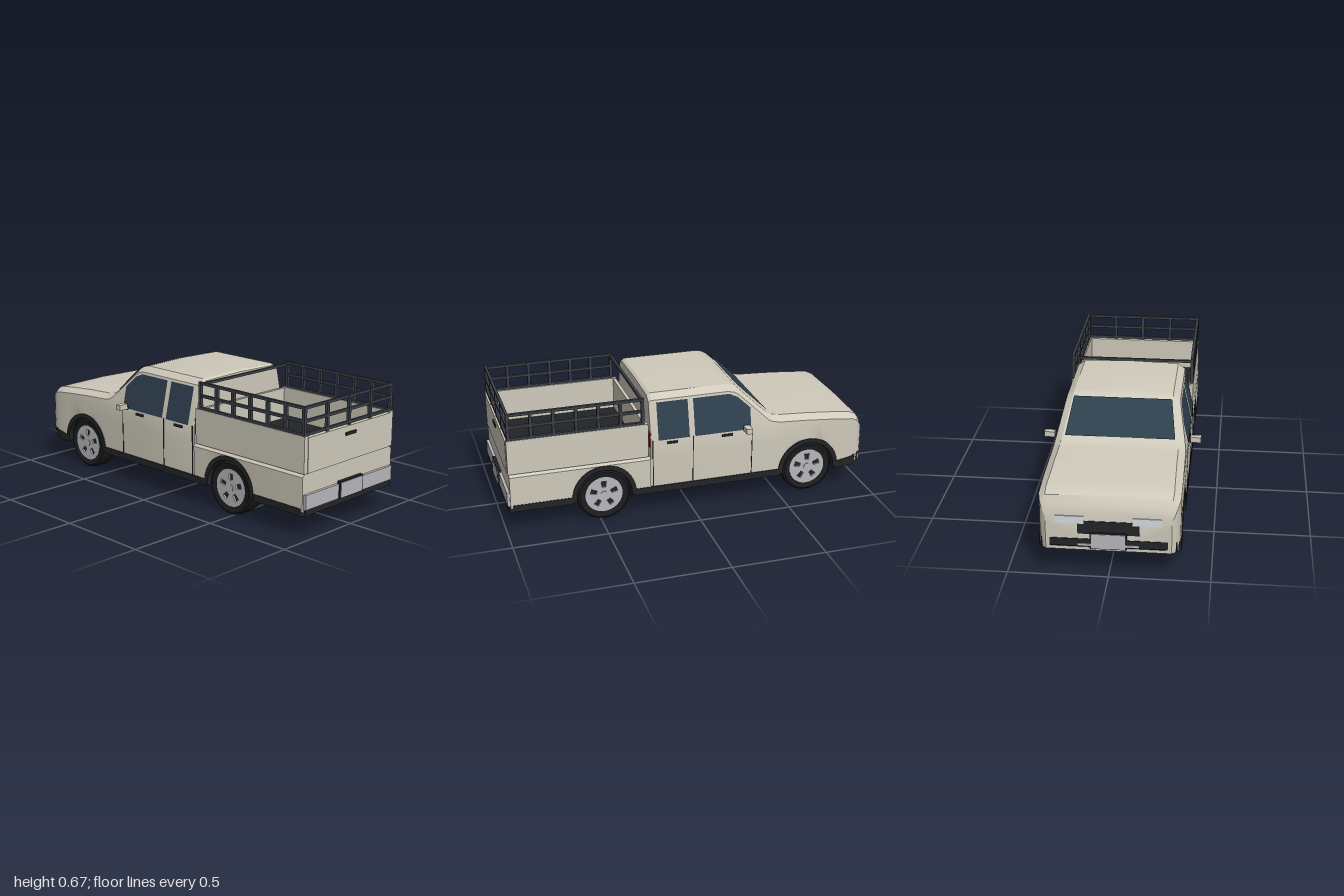
import * as THREE from 'three';
import { toCreasedNormals } from 'three/addons/utils/BufferGeometryUtils.js';

const mat = (color, side = THREE.FrontSide) =>
  new THREE.MeshStandardMaterial({ color, side });
const PAINT = mat(0xcfcabb), TRIM = mat(0x222426), RAIL = mat(0x3a4048), CHROME = mat(0xb8b8bc);
const GLASS = mat(0x2f404e, THREE.DoubleSide), LAMP = mat(0xd8dce0), RED = mat(0x8c1a1a);
const RUBBER = mat(0x1c1d1e);

const AXLES = [-0.665, 0.48], WHEEL_R = 0.143, ARCH_R = 0.17;

function add(parent, name, geo, material, x = 0, y = 0, z = 0) {
  const m = new THREE.Mesh(geo, material);
  m.name = name;
  m.position.set(x, y, z);
  parent.add(m);
  return m;
}

// Box given by its limits on each axis
const block = (p, name, m, x0, x1, y0, y1, z0, z1) =>
  add(p, name, new THREE.BoxGeometry(x1 - x0, y1 - y0, z1 - z0), m,
    (x0 + x1) / 2, (y0 + y1) / 2, (z0 + z1) / 2);

// Skin over mirrored half sections, each listed from bottom centre to top centre
function loft(rows, crease = 0.45) {
  const pos = [], idx = [], n = 2 * rows[0].half.length - 2;
  for (const { z, half } of rows) {
    const mirrored = half.slice(1, -1).reverse().map(([x, y]) => [-x, y]);
    for (const [x, y] of [...half, ...mirrored]) pos.push(x, y, z);
  }
  for (let i = 0; i < rows.length - 1; i++)
    for (let j = 0; j < n; j++) {
      const k = (j + 1) % n, a = i * n + j, b = i * n + k, c = b + n, d = a + n;
      idx.push(a, b, c, a, c, d);
    }
  const last = (rows.length - 1) * n;
  for (let j = 1; j < n - 1; j++) idx.push(0, j + 1, j, last, last + j, last + j + 1);
  const g = new THREE.BufferGeometry();
  g.setAttribute('position', new THREE.Float32BufferAttribute(pos, 3));
  g.setIndex(idx);
  return toCreasedNormals(g, crease);
}

// Underside of the panels, raised around each wheel
function bottomY(z) {
  let y = 0.14;
  for (const c of AXLES) {
    const d = ARCH_R ** 2 - (z - c) ** 2;
    if (d > 0) y = Math.max(y, WHEEL_R + Math.sqrt(d));
  }
  return y;
}
const archStations = c =>
  Array.from({ length: 17 }, (_, i) => c - ARCH_R * Math.cos(i / 16 * Math.PI));

// Side of the cab leans inwards above the belt line
const sideX = y => 0.346 - Math.max(0, y - 0.42) * 0.225;

// Roof, windscreen and bonnet line as [z, y, narrowing]
const TOP = [[-0.988, 0.345, 0.04], [-0.975, 0.385, 0.022], [-0.95, 0.42, 0.008], [-0.915, 0.437, 0],
  [-0.8, 0.45, 0], [-0.65, 0.462, 0], [-0.5, 0.47, 0], [-0.455, 0.478, 0], [-0.43, 0.49, 0],
  [-0.27, 0.642, 0], [-0.245, 0.657, 0], [-0.21, 0.665, 0], [0.21, 0.665, 0], [0.225, 0.655, 0.006]];
function topAt(z) {
  const i = Math.max(1, TOP.findIndex(t => t[0] >= z));
  const a = TOP[i - 1], b = TOP[i], k = (z - a[0]) / (b[0] - a[0]);
  return a.map((v, j) => v + (b[j] - v) * k);
}
function cabSection(z) {
  const [, t, s] = topAt(z), b = bottomY(z), sh = t - 0.035;
  const belt = Math.min(0.42, t - 0.06);
  return { z, half: [[0, b], [0.345 - s, b], [0.347 - s, Math.max(b, belt - 0.09)], [0.346 - s, belt],
    [sideX(sh) - s, sh], [sideX(t) - 0.03 - s, t - 0.007], [0, t]] };
}
function bedSection(z) {
  const b = bottomY(z);
  return { z, half: [[0, b], [0.347, b], [0.349, 0.316], [0.335, 0.33], [0, 0.33]] };
}

// Flat outline in (z, y) laid onto the leaning cab side
function sideGlass(points, s) {
  const g = new THREE.ShapeGeometry(new THREE.Shape(points.map(p => new THREE.Vector2(...p))));
  const p = g.attributes.position;
  for (let i = 0; i < p.count; i++) {
    const z = p.getX(i), y = p.getY(i);
    p.setXYZ(i, s * (sideX(y) + 0.003), y, z);
  }
  g.computeVertexNormals();
  return g;
}

function makeWheel(s) {
  const w = new THREE.Group();
  w.name = 'wheel';
  const prof = [[0.098, -0.044], [0.13, -0.05], [0.14, -0.043], [WHEEL_R, -0.03],
    [WHEEL_R, 0.03], [0.14, 0.043], [0.13, 0.05], [0.098, 0.044]].map(p => new THREE.Vector2(...p));
  const tyre = add(w, 'tyre', toCreasedNormals(new THREE.LatheGeometry(prof, 40), 0.6), RUBBER);
  tyre.rotation.z = Math.PI / 2;
  const back = add(w, 'wheelBack', new THREE.CylinderGeometry(0.1, 0.1, 0.07, 32), TRIM);
  back.rotation.z = Math.PI / 2;
  // Disc with five openings
  const disc = new THREE.Shape().absarc(0, 0, 0.1, 0, 2 * Math.PI);
  for (let i = 0; i < 5; i++) {
    const a = Math.PI / 2 + i * 2 * Math.PI / 5, at = (r, t) =>
      new THREE.Vector2(r * Math.cos(a) - t * Math.sin(a), r * Math.sin(a) + t * Math.cos(a));
    disc.holes.push(new THREE.Path([at(0.04, -0.01), at(0.074, -0.014), at(0.074, 0.014), at(0.04, 0.01)]));
  }
  const rim = add(w, 'rim', new THREE.ExtrudeGeometry(disc,
    { depth: 0.01, bevelEnabled: false, curveSegments: 32 }), CHROME, s * 0.035);
  rim.rotation.y = s * Math.PI / 2;
  const hub = add(w, 'hub', new THREE.CylinderGeometry(0.018, 0.018, 0.012, 20), CHROME, s * 0.043);
  hub.rotation.z = Math.PI / 2;
  return w;
}

export function createModel() {
  const g = new THREE.Group();
  g.name = 'pickupTruck';

  // Cab and bonnet, lower bed
  const cabZ = [...TOP.map(t => t[0]), ...archStations(AXLES[0])].sort((a, b) => a - b);
  add(g, 'cabAndBonnet', loft(cabZ.map(cabSection)), PAINT);
  add(g, 'lowerBed', loft([0.228, ...archStations(AXLES[1]), 0.975].map(bedSection)), PAINT);

  // Underbody and sills
  block(g, 'underbody', TRIM, -0.235, 0.235, 0.122, 0.31, -0.92, 0.95);
  for (const [a, b] of [[-0.5, 0.316], [0.645, 0.965]])
    block(g, 'sill', TRIM, -0.35, 0.35, 0.12, 0.157, a, b);

  // Upper bed walls, tailgate and floor
  for (const s of [-1, 1]) block(g, 'bedSide', PAINT, s * 0.333 - 0.0125, s * 0.333 + 0.0125, 0.333, 0.52, 0.24, 0.98);
  block(g, 'bedFrontWall', PAINT, -0.322, 0.322, 0.33, 0.515, 0.24, 0.258);
  block(g, 'tailgate', PAINT, -0.319, 0.319, 0.332, 0.512, 0.957, 0.982);
  block(g, 'tailgateHandle', TRIM, -0.04, 0.04, 0.465, 0.481, 0.98, 0.988);
  block(g, 'bedFloor', TRIM, -0.322, 0.322, 0.328, 0.342, 0.25, 0.965);

  // Rack around the bed
  const rack = new THREE.Group();
  rack.name = 'bedRack';
  g.add(rack);
  for (const y of [0.526, 0.592, 0.658]) {
    for (const x of [-0.335, 0.335]) block(rack, 'sideRail', RAIL, x - 0.008, x + 0.008, y - 0.007, y + 0.007, 0.26, 0.975);
    block(rack, 'rearRail', RAIL, -0.343, 0.343, y - 0.007, y + 0.007, 0.96, 0.974);
  }
  block(rack, 'frontRail', RAIL, -0.335, 0.335, 0.643, 0.657, 0.26, 0.274);
  for (let i = 0; i < 7; i++) {
    const z = 0.268 + i * 0.1165;
    for (const x of [-0.335, 0.335]) block(rack, 'sidePost', RAIL, x - 0.009, x + 0.009, 0.515, 0.664, z - 0.008, z + 0.008);
  }
  for (const x of [-0.167, 0, 0.167]) block(rack, 'rearPost', RAIL, x - 0.008, x + 0.008, 0.512, 0.664, 0.959, 0.975);

  // Windscreen
  const ws = new THREE.BufferGeometry();
  ws.setAttribute('position', new THREE.Float32BufferAttribute([
    0.285, 0.49, -0.435, -0.285, 0.49, -0.435, -0.257, 0.644, -0.273, 0.257, 0.644, -0.273], 3));
  ws.setIndex([0, 1, 2, 0, 2, 3]);
  ws.computeVertexNormals();
  add(g, 'windscreen', ws, GLASS, 0, 0.002, -0.001);

  for (const s of [-1, 1]) {
    // Side windows, door gaps and handles
    add(g, 'rearWindow', sideGlass([[0.015, 0.42], [0.185, 0.42], [0.185, 0.618], [0.015, 0.618]], s), GLASS);
    add(g, 'frontWindow', sideGlass([[-0.015, 0.42], [-0.328, 0.42], [-0.328, 0.535],
      [-0.26, 0.598], [-0.215, 0.618], [-0.015, 0.618]], s), GLASS);
    for (const z of [-0.335, -0.005, 0.215])
      block(g, 'doorGap', TRIM, s * 0.3465 - 0.002, s * 0.3465 + 0.002, 0.12, 0.42, z - 0.002, z + 0.002);
    for (const z of [-0.195, 0.11])
      block(g, 'doorHandle', TRIM, s * 0.348 - 0.004, s * 0.348 + 0.004, 0.395, 0.408, z - 0.03, z + 0.03);

    // Mirror on a short arm
    block(g, 'mirrorArm', TRIM, s * 0.36 - 0.02, s * 0.36 + 0.02, 0.417, 0.43, -0.305, -0.285);
    block(g, 'mirror', PAINT, s * 0.386 - 0.028, s * 0.386 + 0.028, 0.421, 0.45, -0.313, -0.28);

    // Lights and bumper corners
    block(g, 'headlight', LAMP, s * 0.188 - 0.07, s * 0.188 + 0.07, 0.285, 0.325, -0.993, -0.97);
    block(g, 'rearLight', RED, s * 0.305 - 0.03, s * 0.305 + 0.03, 0.38, 0.46, 0.22, 0.231);
    for (const z of [-0.945, 0.965]) add(g, 'bumperCorner', new THREE.ConeGeometry(0.022, 0.08, 4), TRIM,
      s * (z < 0 ? 0.322 : 0.332), z < 0 ? 0.2 : 0.16, z);

    // Wheels and arch trims
    for (const z of AXLES) {
      const w = makeWheel(s);
      w.position.set(s * 0.286, WHEEL_R, z);
      g.add(w);
      const arch = new THREE.Shape().absarc(0, 0, ARCH_R + 0.003, -0.1, Math.PI + 0.1, false);
      arch.absarc(0, 0, 0.148, Math.PI + 0.1, -0.1, true);
      const trim = add(g, 'wheelArch', new THREE.ExtrudeGeometry(arch,
        { depth: 0.12, bevelEnabled: false, curveSegments: 24 }), TRIM, s > 0 ? 0.231 : -0.351, WHEEL_R, z);
      trim.rotation.y = Math.PI / 2;
    }
  }

  // Nose: grille and dark bumper
  block(g, 'grille', TRIM, -0.15, 0.15, 0.23, 0.3, -0.991, -0.97);
  const bumper = [[-0.996, 0.27, 0.165, 0.205], [-0.97, 0.328, 0.14, 0.195],
    [-0.92, 0.35, 0.124, 0.175], [-0.83, 0.35, 0.12, 0.158]];
  add(g, 'frontBumper', loft(bumper.map(([z, w, a, b]) =>
    ({ z, half: [[0, a], [w, a], [w, b], [0, b]] }))), TRIM);
  block(g, 'bumperStrip', CHROME, -0.15, 0.15, 0.168, 0.18, -0.999, -0.98);

  // Rear bumper
  block(g, 'rearBumper', CHROME, -0.338, 0.338, 0.152, 0.228, 0.965, 0.99);
  block(g, 'rearSkirt', TRIM, -0.335, 0.335, 0.12, 0.155, 0.94, 0.985);

  // Number plates, front and rear
  for (const s of [-1, 1]) {
    block(g, 'plateFrame', TRIM, -0.09, 0.09, 0.152, 0.241, s * 0.988 - 0.009, s * 0.988 + 0.009);
    block(g, 'plate', CHROME, -0.083, 0.083, 0.156, 0.234, s * 0.99 - 0.01, s * 0.99 + 0.01);
  }
  return g;
}
